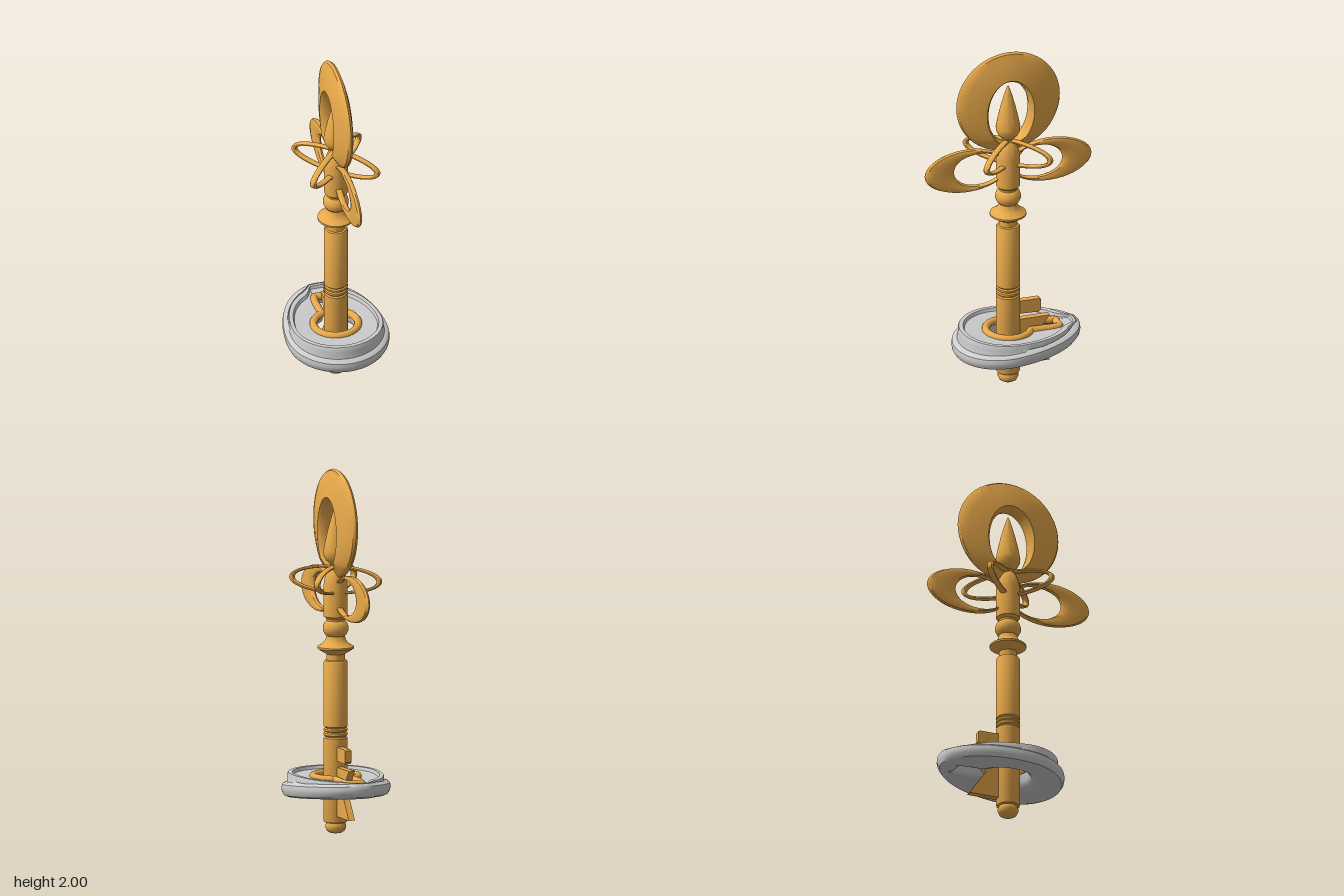
import * as THREE from 'three';
import { toCreasedNormals } from 'three/addons/utils/BufferGeometryUtils.js';

const gold = new THREE.MeshStandardMaterial({ color: 0xe8a94a });
const grey = new THREE.MeshStandardMaterial({ color: 0xcccccc });

function part(name, geometry, material = gold) {
  const mesh = new THREE.Mesh(geometry, material);
  mesh.name = name;
  return mesh;
}

// Closed loop of closed cross-sections; point(a, k) gives [x, y, z]
function loft(steps, count, point, crease) {
  const pos = [], index = [];
  for (let i = 0; i < steps; i++) {
    for (let j = 0; j < count; j++) {
      pos.push(...point((i / steps) * Math.PI * 2, j));
      const i2 = (i + 1) % steps, j2 = (j + 1) % count;
      const a = i * count + j, b = i2 * count + j, c = i2 * count + j2, d = i * count + j2;
      index.push(a, b, c, a, c, d);
    }
  }
  const g = new THREE.BufferGeometry();
  g.setAttribute('position', new THREE.Float32BufferAttribute(pos, 3));
  g.setIndex(index);
  return toCreasedNormals(g, crease);
}

// Flat ring between two ellipses [cx, cy, rx, ry]; half = [t, half thickness] from inner to outer edge
function ellipseRing(inner, outer, half, fullWidth = 0) {
  const profile = [
    ...half.map(([t, h]) => [t, -h]),
    ...half.slice(1, -1).reverse(),
  ];
  const at = (e, a) => [e[0] + e[2] * Math.cos(a), e[1] + e[3] * Math.sin(a)];
  return loft(96, profile.length, (a, j) => {
    const p = at(inner, a), q = at(outer, a), [t, h] = profile[j];
    const width = Math.hypot(q[0] - p[0], q[1] - p[1]);
    const k = fullWidth ? Math.min(1, width / fullWidth) : 1;
    return [p[0] + (q[0] - p[0]) * t, p[1] + (q[1] - p[1]) * t, h * k];
  }, 0.7);
}

function lathe(points) {
  const g = new THREE.LatheGeometry(points.map(([r, y]) => new THREE.Vector2(r, y)), 40);
  return toCreasedNormals(g, 0.6);
}

// Keyhole outline: a circle joined to a slot towards the back
function keyhole(a, radius, slot, back) {
  const s = Math.abs(Math.sin(a)), c = Math.cos(a);
  let r = radius;
  if (c < 0) r = Math.max(r, Math.min(slot / Math.max(s, 1e-6), back / -c));
  return [r * Math.sin(a), r * c];
}

// Egg outline, longer towards the back
function egg(a) {
  const c = Math.cos(a);
  return [0.285 * Math.sin(a), 0.03 + c * (c > 0 ? 0.28 : 0.435)];
}

function plate(points) {
  const depth = 0.036;
  const shape = new THREE.Shape(points.map(([u, y]) => new THREE.Vector2(u, y)));
  return new THREE.ExtrudeGeometry(shape, { depth, bevelEnabled: false })
    .translate(0, 0, -depth / 2).rotateY(Math.PI / 2);
}

export function createModel() {
  const model = new THREE.Group();
  model.name = 'key';

  // Turned shaft with grooves, collar, bead and domed top
  model.add(part('shaft', lathe([
    [0, 0], [0.03, 0.002], [0.047, 0.012], [0.056, 0.03], [0.056, 0.045], [0.05, 0.058],
    [0.062, 0.062], [0.065, 0.07], [0.065, 0.525], [0.058, 0.532], [0.065, 0.54], [0.065, 0.552],
    [0.058, 0.558], [0.065, 0.564], [0.065, 0.574], [0.058, 0.58], [0.065, 0.588], [0.065, 0.94],
    [0.06, 0.95], [0.05, 0.953], [0.05, 0.985], [0.075, 1.0], [0.1, 1.016], [0.1, 1.026],
    [0.07, 1.045], [0.055, 1.065], [0.05, 1.085], [0.06, 1.095], [0.07, 1.115], [0.07, 1.135],
    [0.062, 1.158], [0.05, 1.168], [0.05, 1.178], [0.065, 1.192], [0.065, 1.37], [0.058, 1.41],
    [0.045, 1.445], [0.03, 1.465], [0, 1.475],
  ])));

  // Pointed finial inside the head ring
  model.add(part('finial', lathe([
    [0, 1.45], [0.025, 1.455], [0.03, 1.48], [0.052, 1.5], [0.065, 1.525], [0.067, 1.55],
    [0.058, 1.6], [0.042, 1.67], [0.024, 1.735], [0.01, 1.78], [0, 1.8],
  ])));

  // Large head ring, thick at its opening and thin at its rim
  const head = part('headRing', ellipseRing([0, 1.643, 0.118, 0.187], [0, 1.703, 0.297, 0.297],
    [[0, 0], [0.03, 0.035], [0.1, 0.052], [0.35, 0.045], [0.7, 0.028], [0.95, 0.014], [1, 0]], 0.12));
  head.rotation.y = Math.PI / 2;
  model.add(head);

  // Two side loops
  const thin = [[0, 0], [0.08, 0.012], [0.3, 0.017], [0.7, 0.017], [0.93, 0.012], [1, 0]];
  for (const side of [-1, 1]) {
    const loop = part(side < 0 ? 'backLoop' : 'frontLoop',
      ellipseRing([0.165, 1.315, 0.145, 0.095], [0.24, 1.315, 0.238, 0.126], thin));
    loop.rotation.y = -side * Math.PI / 2;
    model.add(loop);
  }

  // Two crossed oval rings on the diagonals
  for (const side of [-1, 1]) {
    const ring = part(side < 0 ? 'crossRingA' : 'crossRingB',
      ellipseRing([0, 1.395, 0.243, 0.063], [0, 1.395, 0.272, 0.08], thin));
    ring.rotation.y = side * Math.PI / 4;
    model.add(ring);
  }

  // Bit: upper tooth and notched lower tooth
  model.add(part('upperTooth', plate([
    [0.04, 0.405], [0.17, 0.4], [0.182, 0.412], [0.182, 0.475], [0.17, 0.48], [0.04, 0.48]])));
  model.add(part('lowerTooth', plate([
    [0.04, 0.098], [0.235, 0.098], [0.137, 0.24], [0.235, 0.37], [0.04, 0.37]])));

  // Egg-shaped lock plate with raised rim and rounded underside; [t, y] from keyhole to rim
  const section = [
    [0, 0.26], [0.08, 0.235], [0.25, 0.215], [0.5, 0.205], [0.8, 0.207], [0.92, 0.216],
    [0.98, 0.236], [1, 0.256], [0.98, 0.276], [0.92, 0.286], [0.84, 0.29],
    [0.81, 0.3], [0.81, 0.325], [0.79, 0.332], [0.67, 0.332], [0.63, 0.315], [0, 0.31],
  ];
  model.add(part('lockPlate', loft(128, section.length, (a, j) => {
    const [t, y] = section[j];
    const p = keyhole(a, 0.115, 0.045, 0.28), q = egg(a);
    const x = p[0] + (q[0] - p[0]) * t, z = p[1] + (q[1] - p[1]) * t;
    return [x, y + z * (y < 0.295 ? -0.08 : 0.025), z];
  }, 0.6), grey));

  // Keyhole trim
  const path = [];
  for (let i = 0; i < 96; i++) {
    const [x, z] = keyhole((i / 96) * Math.PI * 2, 0.122, 0.048, 0.283);
    path.push(new THREE.Vector3(x, 0.313 + z * 0.025, z));
  }
  const curve = new THREE.CatmullRomCurve3(path, true);
  model.add(part('keyholeTrim', new THREE.TubeGeometry(curve, 160, 0.021, 10, true)));

  return model;
}
